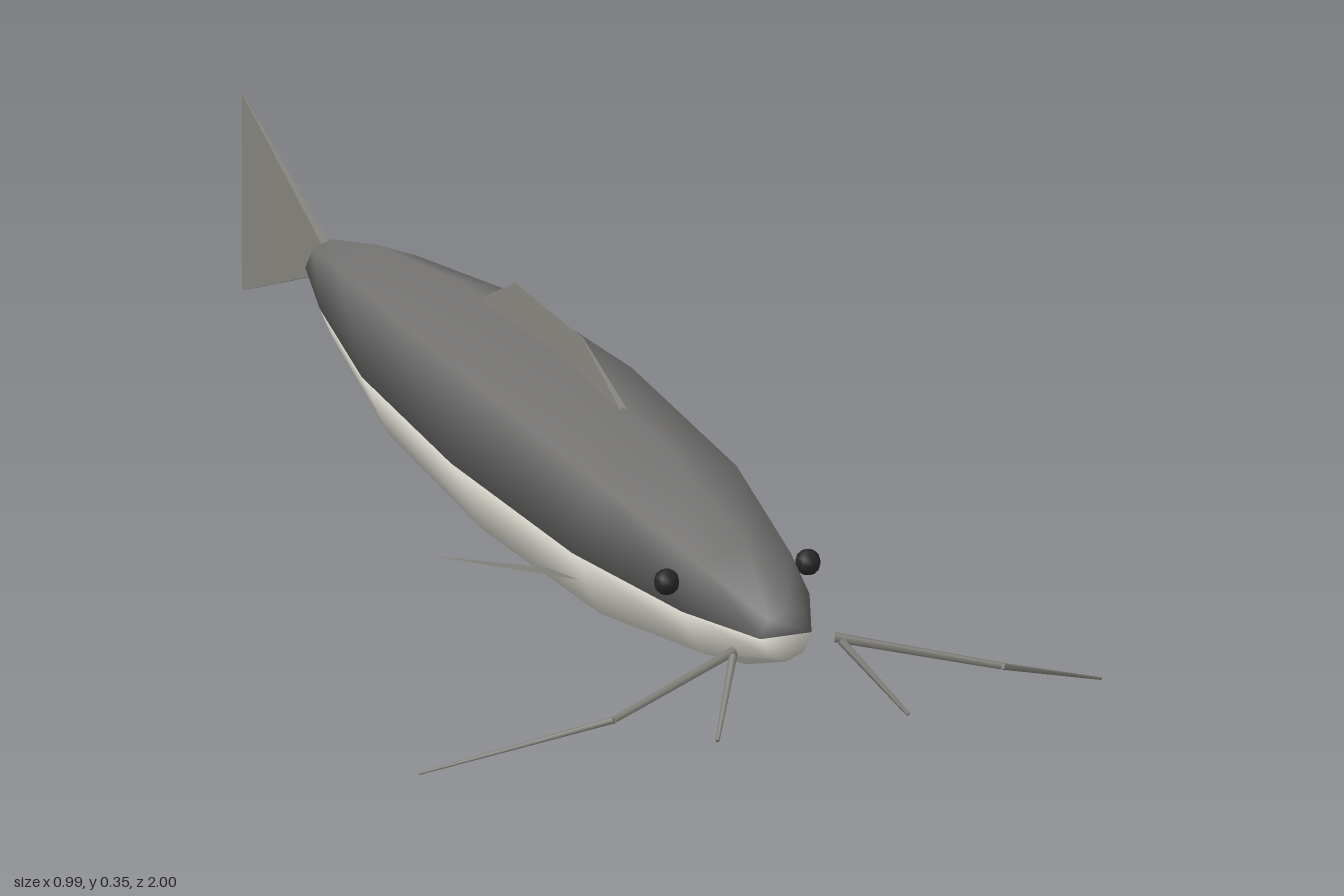
import * as THREE from 'three';

const mat = (name, color, side = THREE.FrontSide) => {
  const m = new THREE.MeshStandardMaterial({ color, side });
  m.name = name;
  return m;
};

// Closed half of an octagonal hull: five points per ring, from angle start to start + 180 degrees
function halfBody(rings, cy, start) {
  const n = 5, pos = [], index = [];
  for (const [z, rx, ry] of rings) {
    for (let i = 0; i < n; i++) {
      const a = start + (i / (n - 1)) * Math.PI;
      pos.push(Math.cos(a) * rx, cy + Math.sin(a) * ry, z);
    }
  }
  const last = (rings.length - 1) * n;
  // Skin, including the flat lid between the last and first points
  for (let r = 0; r < last; r += n) {
    for (let i = 0; i < n; i++) {
      const a = r + i, b = r + (i + 1) % n;
      index.push(a, a + n, b, b, a + n, b + n);
    }
  }
  // Nose and rear caps
  for (let i = 1; i < n - 1; i++) {
    index.push(0, i, i + 1, last, last + i + 1, last + i);
  }
  const g = new THREE.BufferGeometry();
  g.setAttribute('position', new THREE.Float32BufferAttribute(pos, 3));
  g.setIndex(index);
  g.computeVertexNormals();
  return g;
}

// Upright fin with four corners [z, y, half thickness], listed clockwise as seen from +x
function finGeometry(corners) {
  const pos = [];
  for (const s of [1, -1]) {
    for (const [z, y, t] of corners) pos.push(s * t, y, z);
  }
  const index = [0, 1, 2, 0, 2, 3, 4, 6, 5, 4, 7, 6];
  for (let i = 0; i < 4; i++) {
    const j = (i + 1) % 4;
    index.push(i, i + 4, j, j, i + 4, j + 4);
  }
  const g = new THREE.BufferGeometry();
  g.setAttribute('position', new THREE.Float32BufferAttribute(pos, 3));
  g.setIndex(index);
  const flat = g.toNonIndexed();
  flat.computeVertexNormals();
  return flat;
}

// Tapered straight rod between two points
function rod(a, b, ra, rb, material) {
  const from = new THREE.Vector3(...a), to = new THREE.Vector3(...b);
  const dir = to.clone().sub(from);
  const mesh = new THREE.Mesh(new THREE.CylinderGeometry(rb, ra, dir.length(), 5), material);
  mesh.position.copy(from).add(to).multiplyScalar(0.5);
  mesh.quaternion.setFromUnitVectors(new THREE.Vector3(0, 1, 0), dir.normalize());
  return mesh;
}

export function createModel() {
  const model = new THREE.Group();
  const back = mat('backGrey', 0x747372);
  const belly = mat('bellyCream', 0xd2d0c6);
  const fin = mat('finGrey', 0x85837d, THREE.DoubleSide);
  const eyeDark = mat('eyeBlack', 0x262626);
  const add = (name, mesh) => {
    mesh.name = name;
    model.add(mesh);
    return mesh;
  };

  // Body: z, half width, half height
  const rings = [
    [0.9, 0.037, 0.037], [0.76, 0.092, 0.087], [0.49, 0.139, 0.129], [0.1, 0.153, 0.141],
    [-0.26, 0.133, 0.122], [-0.53, 0.082, 0.08], [-0.69, 0.037, 0.035],
  ];
  add('back', new THREE.Mesh(halfBody(rings, 0.163, 0), back));
  add('belly', new THREE.Mesh(halfBody(rings, 0.163, Math.PI), belly));

  // Tail and dorsal fins, thinning toward the outer edge
  add('tailFin', new THREE.Mesh(finGeometry([
    [-0.68, 0.155, 0.007], [-1, 0.022, 0.0004], [-1, 0.302, 0.0004], [-0.68, 0.175, 0.007],
  ]), fin));
  add('dorsalFin', new THREE.Mesh(finGeometry([
    [0.36, 0.285, 0.006], [-0.18, 0.28, 0.006], [-0.045, 0.35, 0.0004], [0.19, 0.35, 0.0004],
  ]), fin));

  for (const [side, s] of [['left', 1], ['right', -1]]) {
    // Pectoral fin: one thin triangle, wound so that its front looks up
    const g = new THREE.BufferGeometry();
    g.setAttribute('position', new THREE.Float32BufferAttribute(
      [s * 0.125, 0.12, 0.48, s * 0.225, 0.078, 0.21, s * 0.12, 0.094, 0.35], 3));
    g.setIndex(s > 0 ? [0, 1, 2] : [0, 2, 1]);
    g.computeVertexNormals();
    add(side + 'PectoralFin', new THREE.Mesh(g, fin));

    // Eye
    add(side + 'Eye', new THREE.Mesh(new THREE.SphereGeometry(0.018, 8, 6), eyeDark))
      .position.set(s * 0.102, 0.197, 0.73);

    // Whiskers: a long bent one and a short straight one
    const elbow = [s * 0.28, 0.107, 0.977];
    const whiskers = add(side + 'Whiskers', new THREE.Group());
    whiskers.add(
      rod([s * 0.073, 0.149, 0.895], elbow, 0.007, 0.005, fin),
      rod(elbow, [s * 0.492, 0.005, 0.81], 0.005, 0.002, fin),
      rod([s * 0.078, 0.147, 0.905], [s * 0.138, 0.064, 0.995], 0.006, 0.003, fin),
    );
  }
  return model;
}
